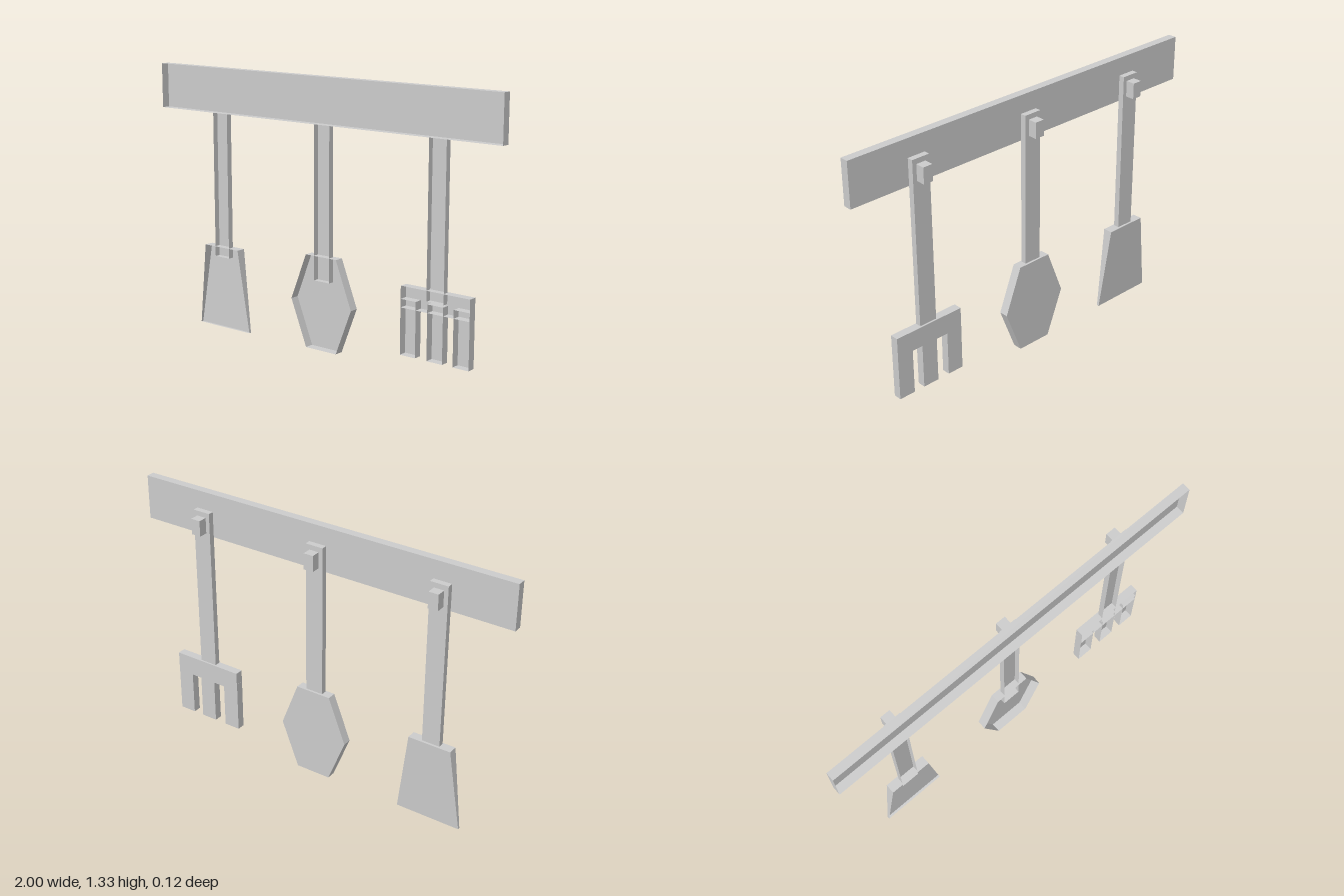
import * as THREE from 'three';

const material = new THREE.MeshStandardMaterial({ color: 0xcccccc, flatShading: true, side: THREE.DoubleSide });

// Shallow shell, open at the front: a convex outline (counter-clockwise seen
// from +z) of [x, y, halfDepth] points gives a back plate and a rim of walls.
function tray(name, outline, z = 0) {
  const pos = [];
  const front = outline.map(([x, y, d]) => [x, y, z + d]);
  const back = outline.map(([x, y, d]) => [x, y, z - d]);
  const tri = (...corners) => corners.forEach((c) => pos.push(...c));
  const n = outline.length;
  for (let i = 0; i < n; i++) {
    const j = (i + 1) % n;
    tri(back[i], back[j], front[j]);
    tri(back[i], front[j], front[i]);
    if (i > 0 && j > 0) tri(back[0], back[j], back[i]);
  }
  const geometry = new THREE.BufferGeometry();
  geometry.setAttribute('position', new THREE.Float32BufferAttribute(pos, 3));
  geometry.computeVertexNormals();
  const mesh = new THREE.Mesh(geometry, material);
  mesh.name = name;
  return mesh;
}

// Rectangular shell from its limits
function trayBox(name, x0, x1, y0, y1, z0, z1) {
  const d = (z1 - z0) / 2;
  return tray(name, [[x0, y0, d], [x1, y0, d], [x1, y1, d], [x0, y1, d]], (z0 + z1) / 2);
}

// Utensil group with its handle and the peg it hangs on
function utensil(name, x, handleBottom) {
  const group = new THREE.Group();
  group.name = name;
  group.position.x = x;
  group.add(
    trayBox('handle', -0.046, 0.046, handleBottom, 1.24, -0.012, 0.017),
    trayBox('peg', -0.025, 0.025, 1.135, 1.215, -0.058, 0.017)
  );
  return group;
}

export function createModel() {
  const model = new THREE.Group();
  model.name = 'utensilRack';

  // Wall board
  model.add(trayBox('board', -1, 1, 1.108, 1.33, 0.018, 0.06));

  // Spatula: blade widens and thins toward its lower edge
  const spatula = utensil('spatula', -0.645, 0.37);
  spatula.add(tray('blade', [
    [-0.166, 0, 0.006], [0.168, 0, 0.006], [0.111, 0.422, 0.024], [-0.109, 0.422, 0.024]
  ]));

  // Spoon: six-sided bowl
  const spoon = utensil('spoon', 0, 0.35);
  const d = 0.023;
  spoon.add(tray('bowl', [
    [-0.092, 0.01, d], [0.091, 0.01, d], [0.181, 0.24, d],
    [0.091, 0.472, d], [-0.092, 0.472, d], [-0.183, 0.24, d]
  ]));

  // Fork: crossbar with three tines
  const fork = utensil('fork', 0.648, 0.36);
  fork.add(trayBox('crossbar', -0.184, 0.186, 0.31, 0.412, -0.021, 0.021));
  for (const x of [-0.143, 0.004, 0.144]) {
    fork.add(trayBox('tine', x - 0.042, x + 0.042, 0.085, 0.35, -0.0205, 0.0205));
  }

  model.add(spatula, spoon, fork);
  return model;
}
